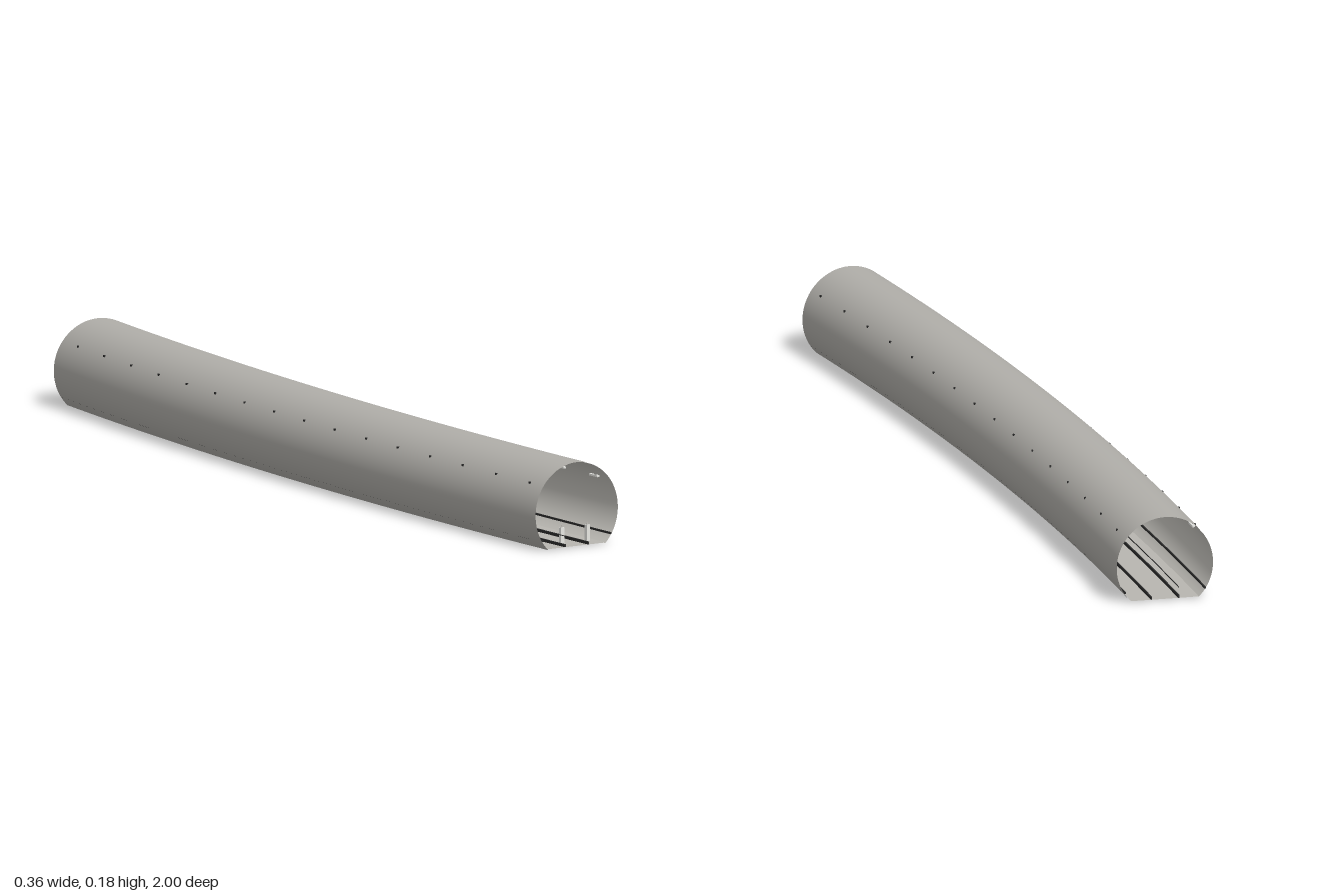
import * as THREE from 'three';

const R = 12.45, BEND = 0.1597, START_X = -0.081; // gentle horizontal curve
const RADIUS = 0.103, AXIS_Y = 0.074;

const paint = (name, color, side = THREE.FrontSide) => {
  const m = new THREE.MeshStandardMaterial({ color, side });
  m.name = name;
  return m;
};

// Point beside the centre line: offset across, height, and t from front to back
function place(offset, y, t) {
  const a = t * BEND;
  return new THREE.Vector3(START_X + R - (R - offset) * Math.cos(a), y, 1 - (R - offset) * Math.sin(a));
}

// Curved surface swept along the tunnel from a cross-section rule
function sheet(profile, sides) {
  const g = new THREE.PlaneGeometry(1, 1, sides, 48);
  const p = g.attributes.position;
  for (let i = 0; i < p.count; i++) {
    const [x, y] = profile(p.getX(i) + 0.5);
    const v = place(x, y, p.getY(i) + 0.5);
    p.setXYZ(i, v.x, v.y, v.z);
  }
  g.computeVertexNormals();
  return g;
}

// Solid bar following the tunnel
function bar(width, height, offset, y) {
  const g = new THREE.BoxGeometry(width, height, 1, 1, 1, 48);
  const p = g.attributes.position;
  for (let i = 0; i < p.count; i++) {
    const v = place(offset + p.getX(i), y + p.getY(i), 0.5 - p.getZ(i));
    p.setXYZ(i, v.x, v.y, v.z);
  }
  return g;
}

export function createModel() {
  const model = new THREE.Group();
  model.name = 'tunnel';
  const concrete = paint('concrete', 0xb0aea9);
  const lining = paint('lining', 0xc6c4be, THREE.BackSide);
  const bed = paint('trackBed', 0xb8b6b0);
  const dark = paint('darkSteel', 0x2b2b2b);
  const white = paint('lampWhite', 0xe8e8e4);

  const add = (name, geometry, material, parent = model) => {
    const mesh = new THREE.Mesh(geometry, material);
    mesh.name = name;
    parent.add(mesh);
    return mesh;
  };

  // Arched shell, open at both ends
  const arch = (r) => (u) => {
    const end = Math.PI / 2 + Math.asin(AXIS_Y / RADIUS);
    const a = (u * 2 - 1) * end;
    return [r * Math.sin(a), AXIS_Y + r * Math.cos(a)];
  };
  add('outerShell', sheet(arch(RADIUS), 64), concrete);
  add('innerLining', sheet(arch(RADIUS - 0.001), 64), lining);

  // Flat base and track bed
  const half = Math.sqrt(RADIUS ** 2 - AXIS_Y ** 2);
  add('base', sheet((u) => [half * (1 - 2 * u), 0], 1), concrete);
  add('trackBed', sheet((u) => [half * (2 * u - 1), 0.002], 1), bed);

  // Running rails and wall cables
  for (const s of [-1, 1]) {
    add('rail', bar(0.003, 0.006, s * 0.029, 0.005), dark);
    add('wallCable', bar(0.003, 0.004, s * 0.085, 0.02), dark);
  }
  add('guideCable', bar(0.0015, 0.0015, -0.029, 0.025), dark);

  // Wall lamps on brackets that just pierce the shell
  const lampBox = new THREE.BoxGeometry(0.006, 0.004, 0.03);
  const bracketBox = new THREE.BoxGeometry(0.008, 0.004, 0.006);
  for (let i = 0; i < 16; i++) {
    const t = (i + 0.4) / 16;
    for (const s of [-1, 1]) {
      const lamp = new THREE.Group();
      lamp.name = 'wallLamp';
      lamp.position.copy(place(s * 0.0805, 0.135, t));
      lamp.rotation.y = -t * BEND;
      add('lampTube', lampBox, white, lamp).position.x = -s * 0.004;
      add('lampBracket', bracketBox, dark, lamp);
      model.add(lamp);
    }
  }

  // Small marker posts between the rails
  for (const offset of [-0.011, 0.053]) {
    const post = new THREE.Group();
    post.name = 'markerPost';
    post.position.copy(place(offset, 0.002, 0.02));
    add('postBody', new THREE.BoxGeometry(0.008, 0.034, 0.008), white, post).position.y = 0.017;
    add('postTip', new THREE.ConeGeometry(0.002, 0.008, 8), bed, post).position.y = 0.038;
    model.add(post);
  }
  return model;
}
